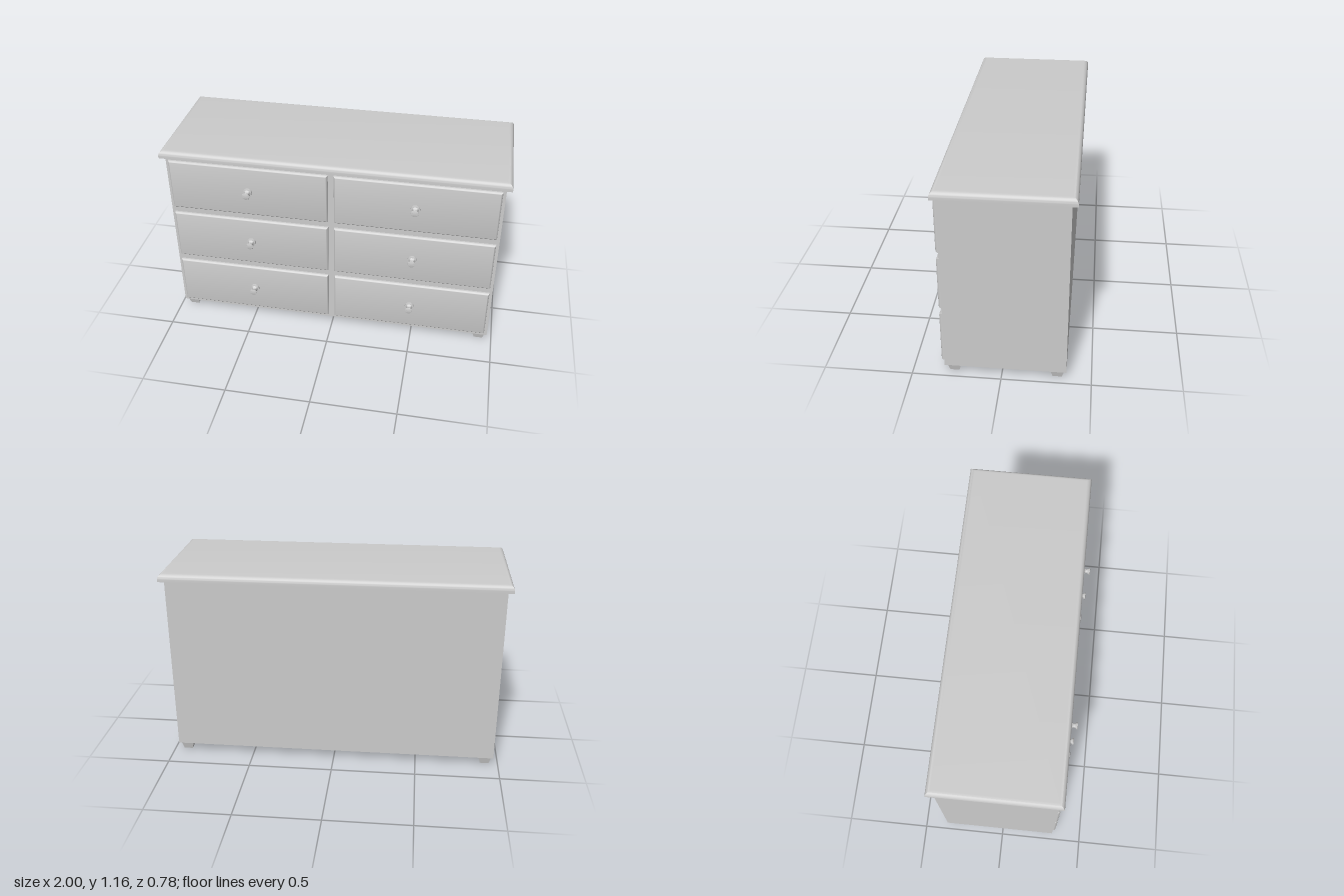
import * as THREE from 'three';
import { toCreasedNormals } from 'three/addons/utils/BufferGeometryUtils.js';

const material = new THREE.MeshStandardMaterial({ color: 0xcccccc });

// Rectangular block lofted along +y through sections of [inset, height]
function loft(width, depth, sections) {
  const pos = [], index = [];
  for (const [inset, y] of sections) {
    const a = width / 2 - inset, b = depth / 2 - inset;
    pos.push(-a, y, b, a, y, b, a, y, -b, -a, y, -b);
  }
  for (let s = 0; s < sections.length - 1; s++) {
    for (let i = 0; i < 4; i++) {
      const p = s * 4 + i, q = s * 4 + (i + 1) % 4;
      index.push(p, q, q + 4, p, q + 4, p + 4);
    }
  }
  const t = (sections.length - 1) * 4;
  index.push(0, 2, 1, 0, 3, 2, t, t + 1, t + 2, t, t + 2, t + 3);
  const geometry = new THREE.BufferGeometry();
  geometry.setAttribute('position', new THREE.Float32BufferAttribute(pos, 3));
  geometry.setIndex(index);
  return toCreasedNormals(geometry, 0.6);
}

// Sections with a quarter-round upper edge
function roundedEdge(height, radius, steps = 8) {
  const sections = [[0, 0]];
  for (let i = 0; i <= steps; i++) {
    const a = (i / steps) * Math.PI / 2;
    sections.push([radius * (1 - Math.cos(a)), height - radius * (1 - Math.sin(a))]);
  }
  return sections;
}

export function createModel() {
  const model = new THREE.Group();
  model.name = 'dresser';

  function add(name, geometry, x, y, z, parent = model) {
    const mesh = new THREE.Mesh(geometry, material);
    mesh.name = name;
    mesh.position.set(x, y, z);
    parent.add(mesh);
    return mesh;
  }

  // Carcass and overhanging top
  add('carcass', new THREE.BoxGeometry(1.94, 1.07, 0.68), 0, 0.585, -0.02);
  add('top', loft(2, 0.737, roundedEdge(0.045, 0.03)), 0, 1.12, -0.0215);

  // Tapered feet
  const footGeometry = loft(0.078, 0.078, [[0.013, 0], [0, 0.051]]);
  for (const x of [-0.92, 0.92]) {
    for (const z of [0.267, -0.309]) add('foot', footGeometry, x, 0, z);
  }

  // Turned knob: base collar, waist and flared head
  const knobProfile = [
    [0, 0], [0.027, 0], [0.027, 0.011], [0.02, 0.012], [0.016, 0.017],
    [0.012, 0.024], [0.012, 0.029], [0.015, 0.036], [0.022, 0.045],
    [0.021, 0.047], [0.015, 0.049], [0, 0.05],
  ].map(([r, y]) => new THREE.Vector2(r, y));
  const knobGeometry = toCreasedNormals(new THREE.LatheGeometry(knobProfile, 24), 0.7);
  knobGeometry.rotateX(Math.PI / 2);

  // Drawers in two columns of three
  const drawerGeometry = loft(0.935, 0.317, roundedEdge(0.02, 0.015));
  drawerGeometry.rotateX(Math.PI / 2);
  for (const x of [-0.485, 0.485]) {
    for (let row = 0; row < 3; row++) {
      const drawer = new THREE.Group();
      drawer.name = 'drawer';
      drawer.position.set(x, 0.23 + row * 0.356, 0.32);
      add('drawerFront', drawerGeometry, 0, 0, 0, drawer);
      add('knob', knobGeometry, 0, 0, 0.02, drawer);
      model.add(drawer);
    }
  }
  return model;
}
